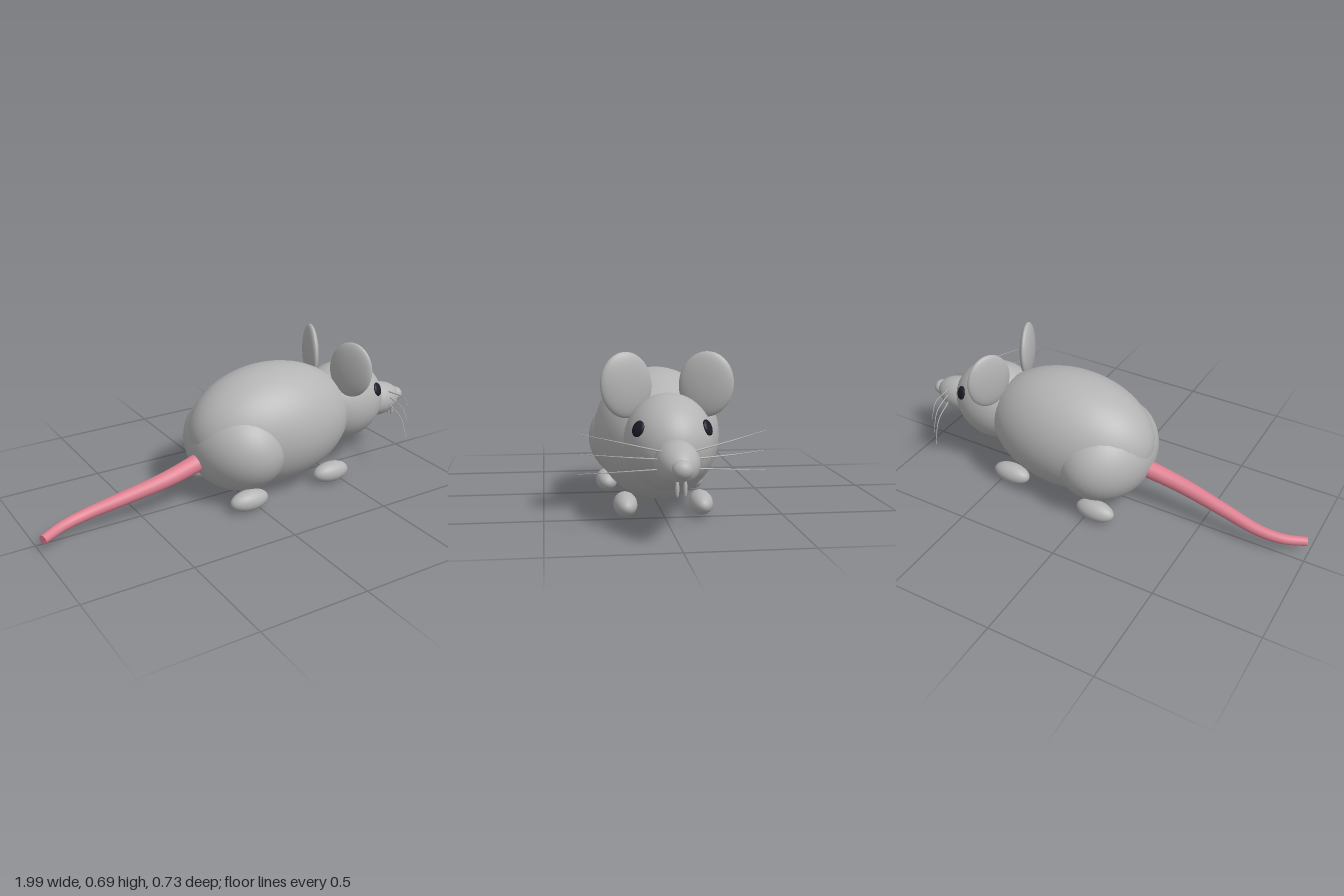
import * as THREE from 'three';

const material = (name, color) => {
  const m = new THREE.MeshStandardMaterial({ color });
  m.name = name;
  return m;
};
const fur = material('grey fur', 0xb4b4b4);
const pink = material('pink skin', 0xde8091);
const dark = material('dark eye', 0x1c1c28);

const V = (x, y, z) => new THREE.Vector3(x, y, z);

// Smooth ellipsoid with the given centre and radii
function ellipsoid(name, mat, [x, y, z], [rx, ry, rz], w = 40, h = 28) {
  const geo = new THREE.SphereGeometry(1, w, h).scale(rx, ry, rz);
  const mesh = new THREE.Mesh(geo, mat);
  mesh.name = name;
  mesh.position.set(x, y, z);
  return mesh;
}

// Tube along a curve whose radius runs from r0 to r1, closed with an end disc
function taperedTube(name, mat, points, r0, r1, segs, sides) {
  const curve = new THREE.CatmullRomCurve3(points);
  const geo = new THREE.TubeGeometry(curve, segs, 1, sides);
  const pos = geo.attributes.position;
  const p = V(0, 0, 0);
  for (let i = 0; i <= segs; i++) {
    const centre = curve.getPointAt(i / segs);
    const r = r0 + (r1 - r0) * (i / segs);
    for (let j = 0; j <= sides; j++) {
      const k = i * (sides + 1) + j;
      p.fromBufferAttribute(pos, k).sub(centre).multiplyScalar(r).add(centre);
      pos.setXYZ(k, p.x, p.y, p.z);
    }
  }
  const tube = new THREE.Mesh(geo, mat);
  tube.name = name;
  const cap = new THREE.Mesh(new THREE.CircleGeometry(r1, sides), mat);
  cap.name = name + 'End';
  cap.position.copy(curve.getPointAt(1));
  cap.quaternion.setFromUnitVectors(V(0, 0, 1), curve.getTangentAt(1));
  tube.add(cap);
  return tube;
}

export function createModel() {
  const mouse = new THREE.Group();
  mouse.name = 'mouse';

  // Body, head and muzzle
  mouse.add(
    ellipsoid('body', fur, [0.19, 0.315, 0], [0.42, 0.288, 0.274]),
    ellipsoid('rump', fur, [0, 0.265, 0], [0.232, 0.23, 0.288]),
    ellipsoid('head', fur, [0.61, 0.343, 0], [0.22, 0.194, 0.18]),
    ellipsoid('snout', fur, [0.83, 0.3, 0], [0.142, 0.086, 0.086]),
    ellipsoid('nose', fur, [0.966, 0.3, 0], [0.034, 0.036, 0.039], 24, 16),
  );

  // Tail
  mouse.add(taperedTube('tail', pink, [
    V(-0.18, 0.215, 0.015), V(-0.38, 0.168, 0.028), V(-0.6, 0.122, 0.014),
    V(-0.77, 0.087, 0.002), V(-0.88, 0.071, 0.018), V(-0.985, 0.061, 0.066),
  ], 0.043, 0.021, 40, 20));

  for (const s of [1, -1]) {
    // Ears turned forward at their outer edge
    const ear = ellipsoid('ear', fur, [0.535, 0.562, s * 0.163], [0.03, 0.134, 0.113]);
    ear.rotation.set(s * 0.13, s * 0.36, 0, 'YXZ');
    mouse.add(ear);

    // Eyes lie flat on the head
    const eye = ellipsoid('eye', dark, [0.73, 0.415, s * 0.135], [0.033, 0.033, 0.012], 24, 16);
    eye.quaternion.setFromUnitVectors(V(0, 0, 1), V(0.475, 0.37, s * 0.8).normalize());
    mouse.add(eye);

    // Feet and teeth
    mouse.add(
      ellipsoid('frontFoot', fur, [0.445, 0.052, s * 0.16], [0.097, 0.05, 0.05], 28, 18),
      ellipsoid('backFoot', fur, [-0.05, 0.052, s * 0.204], [0.097, 0.05, 0.05], 28, 18),
      ellipsoid('tooth', fur, [0.94, 0.225, s * 0.015], [0.008, 0.034, 0.008], 14, 12),
    );

    // Whiskers sweep out and back
    for (const [y0, y1, y2, z0] of [[0.35, 0.38, 0.4, 0.06], [0.322, 0.325, 0.322, 0.075], [0.283, 0.268, 0.243, 0.075]]) {
      mouse.add(taperedTube('whisker', fur, [
        V(0.87, y0, s * z0), V(0.826, y1, s * 0.215), V(0.73, y2, s * 0.364),
      ], 0.0035, 0.001, 16, 6));
    }
  }
  return mouse;
}
